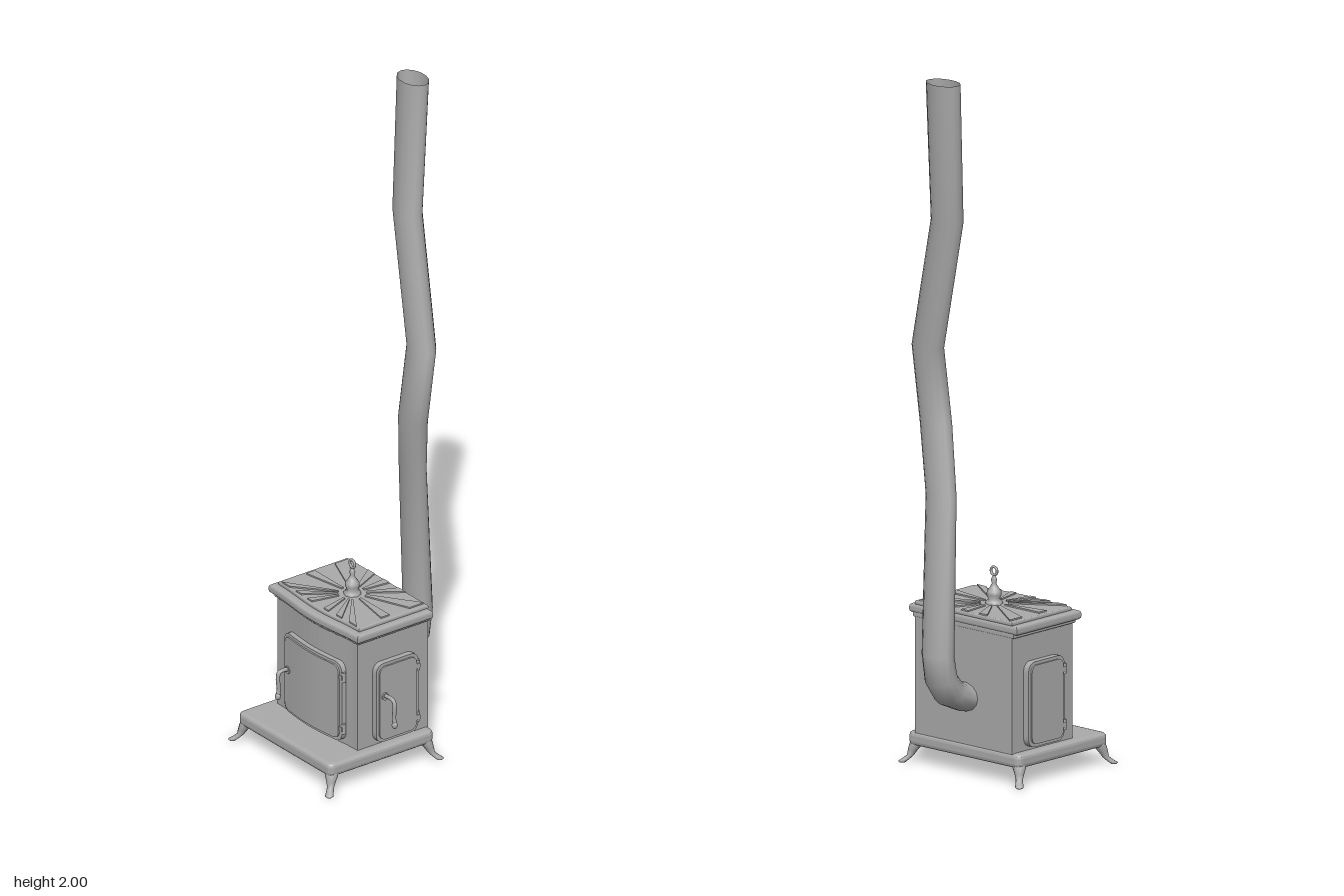
import * as THREE from 'three';

const CX = -0.015; // centre line of the stove body
const iron = new THREE.MeshStandardMaterial({ color: 0xaaaaaa, side: THREE.DoubleSide });
iron.name = 'castIron';

function add(parent, name, geometry, x = 0, y = 0, z = 0) {
  const mesh = new THREE.Mesh(geometry, iron);
  mesh.name = name;
  mesh.position.set(x, y, z);
  parent.add(mesh);
  return mesh;
}

// Extrudes a ground plan upward; corners are [x, z]
function slab(plan, y0, y1, bevel = 0) {
  const shape = new THREE.Shape(plan.map(([x, z]) => new THREE.Vector2(x, -z)));
  const geo = new THREE.ExtrudeGeometry(shape, {
    depth: y1 - y0 - 2 * bevel, bevelEnabled: bevel > 0, bevelSize: bevel,
    bevelThickness: bevel, bevelOffset: -bevel, bevelSegments: 3,
  });
  return geo.rotateX(-Math.PI / 2).translate(0, y0 + bevel, 0);
}

// Serpentine bulge along the front, t from -1 to 1
const swell = (t) => 0.5 + 0.5 * Math.cos(Math.PI * Math.min(1, Math.abs(t)));

function bowedPlan(halfW, back, front, bow) {
  const plan = [[CX + halfW, back], [CX - halfW, back]];
  for (let i = 0; i <= 16; i++) {
    const t = i / 8 - 1;
    plan.push([CX + t * halfW, front + bow * swell(t)]);
  }
  return plan;
}

function roundedPlan(x0, x1, z0, z1, r) {
  const plan = [];
  [[x1, z1, 0], [x0, z1, 1], [x0, z0, 2], [x1, z0, 3]].forEach(([x, z, q]) => {
    const cx = x + (x === x1 ? -r : r), cz = z + (z === z1 ? -r : r);
    for (let i = 0; i <= 4; i++) {
      const a = (q + i / 4) * Math.PI / 2;
      plan.push([cx + r * Math.cos(a), cz + r * Math.sin(a)]);
    }
  });
  return plan;
}

// Skin over elliptical rings, each given by centre and two half axes
function loft(rings, sides) {
  const pos = [], index = [];
  rings.forEach(({ c, a, b }, i) => {
    for (let j = 0; j < sides; j++) {
      const th = (j / sides) * Math.PI * 2, co = Math.cos(th), si = Math.sin(th);
      for (let k = 0; k < 3; k++) pos.push(c[k] + a[k] * co + b[k] * si);
      if (i === rings.length - 1) continue;
      const p = i * sides + j, q = i * sides + (j + 1) % sides;
      index.push(p, q, q + sides, p, q + sides, p + sides);
    }
  });
  const geo = new THREE.BufferGeometry();
  geo.setAttribute('position', new THREE.Float32BufferAttribute(pos, 3));
  geo.setIndex(index);
  geo.computeVertexNormals();
  return geo;
}

// Round-cornered panel facing +z, following the bulge when bow > 0
function panel(w, h, d, r, bow) {
  const geo = new THREE.BoxGeometry(w, h, d, 12, 20, 1);
  const p = geo.attributes.position;
  for (let i = 0; i < p.count; i++) {
    const y = (h / 2) * Math.sin((p.getY(i) / h) * Math.PI);
    const over = Math.max(0, Math.abs(y) - (h / 2 - r));
    const half = w / 2 - r + Math.sqrt(Math.max(0, r * r - over * over));
    const x = p.getX(i) * half / (w / 2);
    p.setXYZ(i, x, y, p.getZ(i) + bow * swell(x / 0.183));
  }
  geo.computeVertexNormals();
  return geo;
}

// Hanging handle that sticks out along +z
function handle(reach) {
  const g = new THREE.Group();
  g.name = 'doorHandle';
  const v = (y, z) => new THREE.Vector3(0, y, z);
  const path = new THREE.CatmullRomCurve3([v(0, -0.01), v(0.004, reach * 0.5), v(0, reach * 0.9),
    v(-0.018, reach), v(-0.05, reach - 0.003), v(-0.07, reach)]);
  add(g, 'handleRod', new THREE.TubeGeometry(path, 20, 0.006, 8));
  add(g, 'handleGrip', new THREE.SphereGeometry(0.0085, 10, 8).scale(1, 1.3, 1), 0, -0.072, reach);
  add(g, 'handlePlate', new THREE.CylinderGeometry(0.011, 0.011, 0.01, 12).rotateX(Math.PI / 2));
  return g;
}

function door(name, w, bow, lift, hasHandle, reach) {
  const g = new THREE.Group();
  g.name = name;
  add(g, 'doorFrame', panel(w, 0.244, 0.03, 0.025, bow));
  add(g, 'doorPanel', panel(w - 0.018, 0.226, 0.03, 0.02, bow), 0, 0, 0.005);
  for (const y of [-0.08, 0.08]) {
    add(g, 'hinge', new THREE.CylinderGeometry(0.007, 0.007, 0.03, 10), w / 2, y, 0.012);
    add(g, 'hingeStrap', new THREE.BoxGeometry(0.022, 0.014, 0.012), w / 2 - 0.008, y, 0.014);
  }
  if (hasHandle) {
    const grip = handle(reach);
    grip.position.set(-w / 2 + 0.026, lift, 0.02 + bow * 0.3);
    g.add(grip);
  }
  return g;
}

export function createModel() {
  const model = new THREE.Group();
  model.name = 'woodStove';

  // Hearth base, firebox and lid
  add(model, 'hearthBase', slab(roundedPlan(-0.227, 0.197, -0.127, 0.24, 0.018), 0.05, 0.09, 0.012));
  add(model, 'firebox', slab(bowedPlan(0.183, -0.125, 0.122, 0.013), 0.088, 0.432));
  add(model, 'lidMoulding', slab(bowedPlan(0.19, -0.126, 0.127, 0.014), 0.42, 0.435, 0.004));
  add(model, 'lidRim', slab(bowedPlan(0.203, -0.127, 0.137, 0.015), 0.43, 0.457, 0.009));
  add(model, 'lidTop', slab(bowedPlan(0.184, -0.125, 0.117, 0.012), 0.455, 0.467, 0.004));

  // Sunburst of thin wedges on the lid
  const rays = [
    [[0.17, 0], [0.17, 0.03]], [[0.17, -0.12], [0.17, -0.07]], [[0.17, 0.115], [0.135, 0.115]],
    [[0.105, 0.117], [0.08, 0.117]], [[0.048, 0.12], [0.027, 0.12]], [[0.055, -0.12], [0.085, -0.12]],
  ];
  const addRay = (p, q, side) => {
    const inner = ([x, z]) => { const l = 0.04 / Math.hypot(x, z); return [x * l, z * l]; };
    const plan = [p, q, inner(q), inner(p)].map(([x, z]) => [CX + side * x, z]);
    add(model, 'lidRay', slab(plan, 0.465, 0.471));
  };
  for (const side of [1, -1]) rays.forEach(([p, q]) => addRay(p, q, side));
  addRay([-0.013, -0.12], [0.013, -0.12], 1);

  // Finial with a ring on top
  const profile = [[0.025, 0.464], [0.024, 0.474], [0.016, 0.48], [0.021, 0.492], [0.02, 0.503],
    [0.011, 0.515], [0.006, 0.525], [0.009, 0.535], [0.004, 0.545], [0, 0.55]];
  add(model, 'finial', new THREE.LatheGeometry(profile.map(([r, y]) => new THREE.Vector2(r, y)), 8), CX);
  add(model, 'finialRing', new THREE.TorusGeometry(0.0115, 0.0038, 8, 16), CX, 0.56);

  // Doors on the front and both sides
  const front = door('frontDoor', 0.262, 0.013, 0.012, true, 0.036);
  front.position.set(-0.012, 0.222, 0.122);
  const left = door('leftDoor', 0.147, 0, 0.022, true, 0.045);
  left.position.set(0.17, 0.222, -0.004);
  left.rotation.y = Math.PI / 2;
  const right = door('rightDoor', 0.147, 0, 0, false, 0);
  right.position.set(-0.202, 0.222, -0.004);
  right.rotation.y = -Math.PI / 2;
  model.add(front, left, right);

  // Splayed curved legs: [height, outward shift, radius]
  const legRings = [[0.062, -0.006, 0.02], [0.05, 0, 0.019], [0.036, 0.008, 0.014], [0.02, 0.015, 0.01],
    [0.01, 0.027, 0.011], [0.003, 0.037, 0.012], [0, 0.037, 0.009], [0, 0.037, 0]];
  for (const sx of [1, -1]) for (const sz of [1, -1]) {
    const rings = legRings.map(([y, out, r]) => ({
      c: [CX + sx * (0.195 + out * 0.7), y, (sz > 0 ? 0.222 : -0.108) + sz * out * 0.75],
      a: [r, 0, 0], b: [0, 0, r],
    }));
    add(model, 'leg', loft(rings, 10));
  }

  // Crooked open flue: [x, y, z, half width, half depth, tilt from wall to upright]
  const flue = [
    [-0.015, 0.222, -0.115, 0.054, 0.042, 0], [-0.015, 0.228, -0.14, 0.054, 0.042, 0.1],
    [-0.015, 0.246, -0.182, 0.054, 0.042, 0.45], [-0.014, 0.29, -0.215, 0.053, 0.04, 0.75],
    [-0.013, 0.36, -0.227, 0.053, 0.035, 1], [0.003, 0.81, -0.197, 0.051, 0.031, 1],
    [0.066, 1.0, -0.15, 0.053, 0.034, 1], [0.077, 1.22, -0.171, 0.053, 0.034, 1],
    [-0.018, 1.6, -0.195, 0.053, 0.035, 1], [-0.026, 2.0, -0.22, 0.056, 0.038, 1],
  ];
  add(model, 'fluePipe', loft(flue.map(([x, y, z, rx, rz, t]) => {
    const a = t * Math.PI / 2;
    return { c: [x, y, z], a: [rx, 0, 0], b: [0, -rz * Math.cos(a), -rz * Math.sin(a)] };
  }), 14));

  return model;
}
